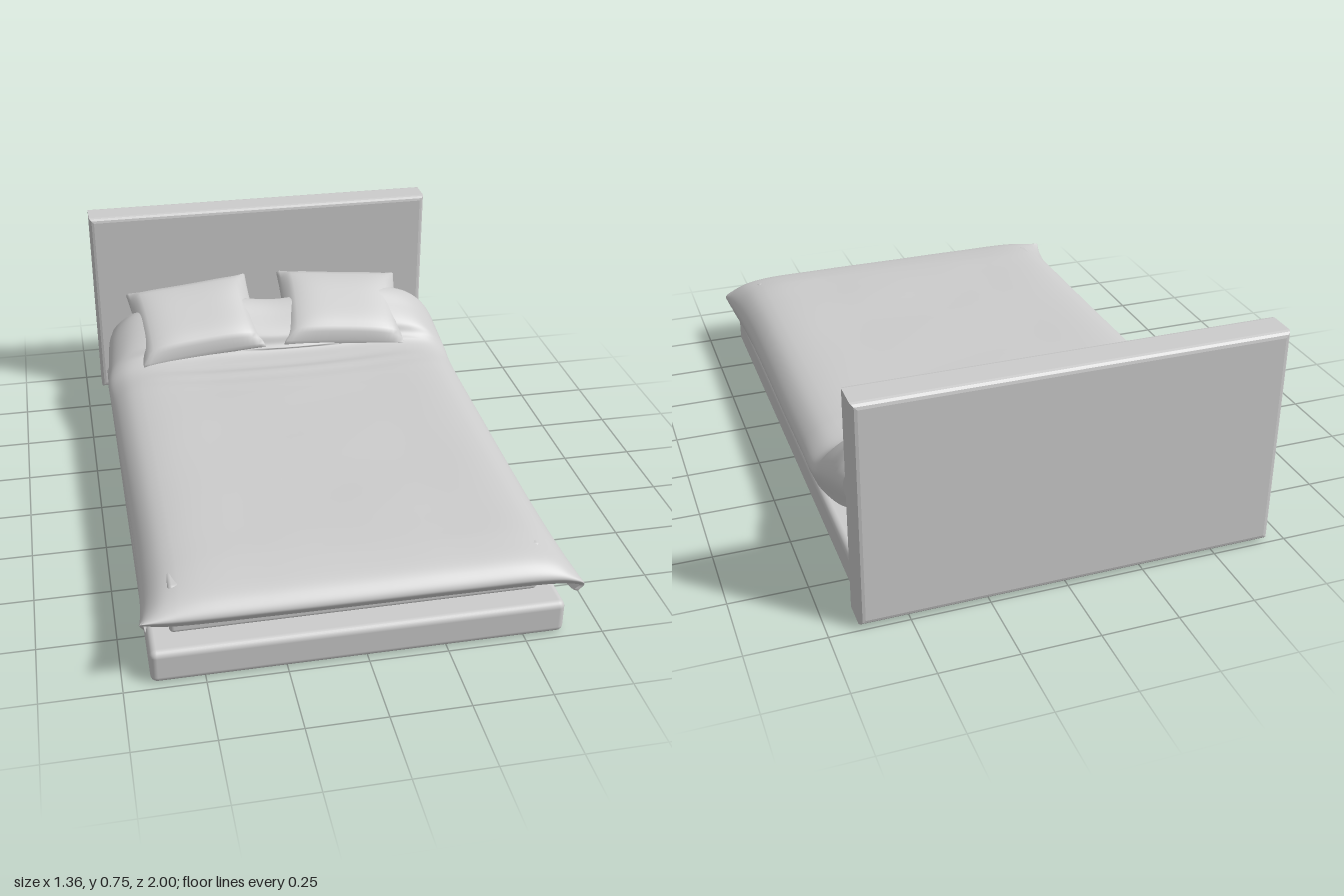
import * as THREE from 'three';
import { mergeVertices } from 'three/addons/utils/BufferGeometryUtils.js';
import { RoundedBoxGeometry } from 'three/addons/geometries/RoundedBoxGeometry.js';

const grey = new THREE.MeshStandardMaterial({ color: 0xcccccc, side: THREE.DoubleSide });
grey.name = 'plain grey';

function part(name, geometry, x = 0, y = 0, z = 0) {
  const mesh = new THREE.Mesh(geometry, grey);
  mesh.name = name;
  mesh.position.set(x, y, z);
  return mesh;
}

// Rounded block given by its limits
function block(name, [x0, x1], [y0, y1], [z0, z1], radius) {
  const geometry = new RoundedBoxGeometry(x1 - x0, y1 - y0, z1 - z0, 3, radius);
  return part(name, geometry, (x0 + x1) / 2, (y0 + y1) / 2, (z0 + z1) / 2);
}

// Panel with square corners and softened front and back edges
function headboard() {
  const bevel = 0.018, w = 1.345 / 2 - bevel, h = 0.74 / 2 - bevel;
  const outline = new THREE.Shape([
    new THREE.Vector2(-w, -h), new THREE.Vector2(w, -h),
    new THREE.Vector2(w, h), new THREE.Vector2(-w, h),
  ]);
  const geometry = new THREE.ExtrudeGeometry(outline, {
    depth: 0.12 - 2 * bevel, bevelSize: bevel, bevelThickness: bevel, bevelSegments: 3,
  });
  return part('headboard', geometry, -0.017, 0.385, -1 + bevel);
}

// Cushion: a subdivided box that thins towards its rim
function pillow(name, side) {
  const box = new THREE.BoxGeometry(2, 2, 2, 24, 4, 18);
  box.deleteAttribute('uv');
  box.deleteAttribute('normal');
  const geometry = mergeVertices(box);
  const pos = geometry.attributes.position;
  for (let i = 0; i < pos.count; i++) {
    const u = pos.getX(i), t = pos.getY(i), v = pos.getZ(i);
    const puff = 0.3 + 0.7 * Math.sqrt((1 - u ** 4) * (1 - v ** 4));
    const rim = 1 - 0.04 * t * t;
    pos.setXYZ(i, u * 0.24 * rim * (1 - 0.04 * (1 - v * v)), t * 0.07 * puff,
      v * 0.185 * rim * (1 - 0.05 * (1 - u * u)));
  }
  geometry.computeVertexNormals();
  const mesh = part(name, geometry, -0.03 + side * 0.288, 0.4, -0.635);
  mesh.rotation.set(0.45, -side * 0.08, -side * 0.05);
  return mesh;
}

// Blanket sections, foot to head: centre z, hem z, top y, hem y, shoulder x, outer x, corner flare
const SECTIONS = [
  [0.975, 0.975, 0.2, 0.195, 0.57, 0.675, 1],
  [0.997, 0.99, 0.235, 0.2, 0.57, 0.682, 1],
  [0.96, 0.96, 0.272, 0.165, 0.56, 0.678, 0.5],
  [0.85, 0.86, 0.298, 0.138, 0.55, 0.668, 0],
  [0.65, 0.65, 0.308, 0.14, 0.55, 0.66, 0],
  [0.3, 0.3, 0.311, 0.148, 0.55, 0.66, 0],
  [0, 0, 0.313, 0.156, 0.55, 0.663, 0],
  [-0.3, -0.3, 0.315, 0.167, 0.55, 0.665, 0],
  [-0.45, -0.43, 0.318, 0.176, 0.54, 0.668, 0],
  [-0.49, -0.49, 0.345, 0.185, 0.53, 0.668, 0],
  [-0.51, -0.54, 0.385, 0.192, 0.51, 0.662, 0],
  [-0.58, -0.6, 0.44, 0.205, 0.47, 0.655, 0],
  [-0.655, -0.68, 0.482, 0.23, 0.45, 0.645, 0],
  [-0.682, -0.75, 0.468, 0.258, 0.45, 0.63, 0],
];

function sectionCurve([z, hemZ, top, hem, shoulder, outer, flare]) {
  const drop = top - hem;
  const sag = Math.max(0, top - 0.34) * 0.15;
  const half = [
    [shoulder * 0.5, top],
    [shoulder, top - 0.06 * drop],
    [shoulder + 0.62 * (outer - shoulder), top - 0.25 * drop],
    [outer, top - 0.62 * drop],
    [outer - 0.015, hem],
  ];
  const place = (side) => half.map(([x, y], i) => {
    const edge = ((i + 1) / 5) ** 2;
    const lift = flare * edge * (side > 0 ? -0.03 : 0.045);
    return new THREE.Vector3(side * x - 0.008, y + lift, z + (hemZ - z) * edge);
  });
  return new THREE.CatmullRomCurve3(
    [...place(-1).reverse(), new THREE.Vector3(-0.008, top - sag, z), ...place(1)], false, 'centripetal');
}

function blanket() {
  const cols = 70, rows = 130, positions = [], indices = [];
  const curves = SECTIONS.map(sectionCurve);
  const columns = [];
  for (let j = 0; j <= cols; j++) {
    columns.push(new THREE.CatmullRomCurve3(curves.map((c) => c.getPoint(j / cols)), false, 'centripetal'));
  }
  for (let i = 0; i <= rows; i++) {
    for (let j = 0; j <= cols; j++) {
      const p = columns[j].getPoint(i / rows);
      // Soft creases on the flat top and across the turned-up end
      const inner = Math.max(0, 1 - (p.x / 0.55) ** 2);
      const creases = Math.exp(-(((p.z + 0.35) / 0.1) ** 2)) * Math.sin(p.z * 70 + p.x * p.x * 12);
      const ripples = Math.sin(p.x * 9 + p.z * 6) * Math.sin(p.z * 8 - p.x * 3) * 0.5;
      p.y += inner * 0.004 * (creases + (Math.abs(p.z) < 0.8 ? ripples : 0));
      if (p.z < -0.48) p.z += 0.012 * inner * Math.sin(p.x * 7 + 1.2);
      positions.push(p.x, p.y, p.z);
      if (i < rows && j < cols) {
        const a = i * (cols + 1) + j, b = a + cols + 1;
        indices.push(a, a + 1, b, a + 1, b + 1, b);
      }
    }
  }
  const geometry = new THREE.BufferGeometry();
  geometry.setAttribute('position', new THREE.Float32BufferAttribute(positions, 3));
  geometry.setIndex(indices);
  geometry.computeVertexNormals();
  return part('blanket', geometry);
}

export function createModel() {
  const bed = new THREE.Group();
  bed.name = 'bed';
  bed.add(
    headboard(),
    block('bedFrame', [-0.665, 0.63], [0.003, 0.117], [-0.885, 0.98], 0.022),
    block('mattress', [-0.595, 0.565], [0.11, 0.285], [-0.875, 0.89], 0.015),
    pillow('leftPillow', 1),
    pillow('rightPillow', -1),
    blanket(),
  );
  return bed;
}
